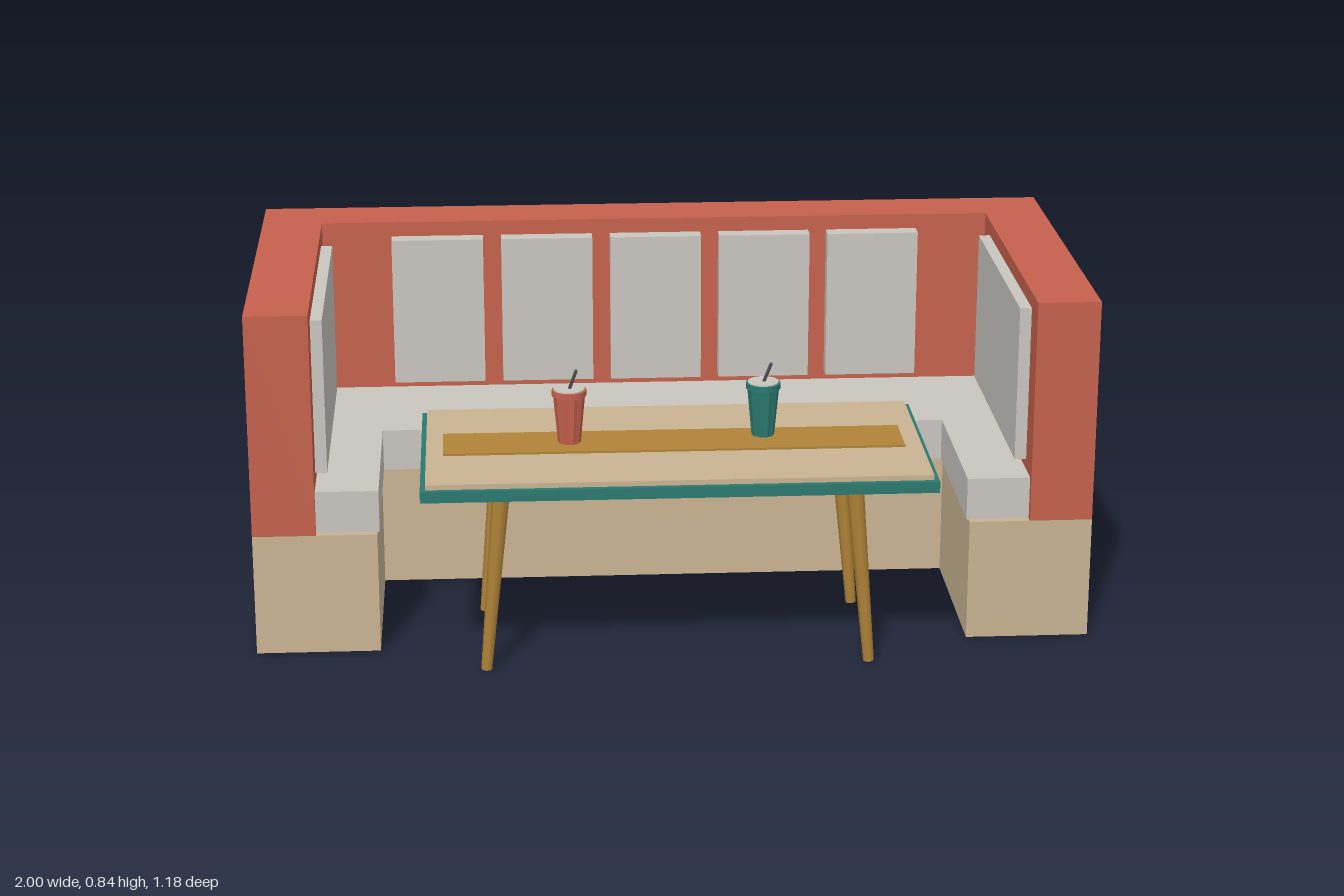
import * as THREE from 'three';

const mat = (name, color) => {
  const m = new THREE.MeshStandardMaterial({ color });
  m.name = name;
  return m;
};

export function createModel() {
  const red = mat('red upholstery', 0xc5614d);
  const tan = mat('tan wood', 0xc9b393);
  const cushion = mat('off-white cushion', 0xc9c6c0);
  const teal = mat('teal', 0x2a7a70);
  const gold = mat('golden brown', 0xb08338);
  const grey = mat('dark grey', 0x55555a);

  const model = new THREE.Group();
  model.name = 'diningBooth';

  const add = (name, geometry, material, parent = model) => {
    const mesh = new THREE.Mesh(geometry, material);
    mesh.name = name;
    parent.add(mesh);
    return mesh;
  };

  // Box given by its extents on each axis
  const box = (name, material, [x0, x1], [y0, y1], [z0, z1], parent) => {
    const mesh = add(name, new THREE.BoxGeometry(x1 - x0, y1 - y0, z1 - z0), material, parent);
    mesh.position.set((x0 + x1) / 2, (y0 + y1) / 2, (z0 + z1) / 2);
    return mesh;
  };

  // U-shaped block, open to the front
  const uBlock = (name, material, outerX, innerX, backZ, innerZ, frontZ, y0, y1) => {
    const shape = new THREE.Shape([
      [-outerX, backZ], [-outerX, frontZ], [-innerX, frontZ], [-innerX, innerZ],
      [innerX, innerZ], [innerX, frontZ], [outerX, frontZ], [outerX, backZ],
    ].map(([x, z]) => new THREE.Vector2(x, -z)));
    const g = new THREE.ExtrudeGeometry(shape, { depth: y1 - y0, bevelEnabled: false });
    g.rotateX(-Math.PI / 2).translate(0, y0, 0);
    return add(name, g, material);
  };

  // Tapered round bar between two points
  const bar = (name, material, from, to, rFrom, rTo, sides, parent) => {
    const a = new THREE.Vector3(...from), b = new THREE.Vector3(...to);
    const dir = b.clone().sub(a);
    const mesh = add(name, new THREE.CylinderGeometry(rTo, rFrom, dir.length(), sides), material, parent);
    mesh.position.copy(a).add(b).multiplyScalar(0.5);
    mesh.quaternion.setFromUnitVectors(new THREE.Vector3(0, 1, 0), dir.normalize());
    return mesh;
  };

  // Booth: plinth, surrounding wall and seat
  uBlock('boothBase', tan, 1, 0.705, -0.59, -0.09, 0.365, 0, 0.297);
  uBlock('boothWall', red, 1, 0.85, -0.59, -0.44, 0.365, 0.297, 0.84);
  uBlock('seatCushion', cushion, 0.85, 0.7, -0.44, -0.09, 0.347, 0.297, 0.4);

  // Padded panels on the wall
  for (let i = -2; i <= 2; i++) {
    const x = i * 0.278 - 0.002;
    box('backPanel', cushion, [x - 0.116, x + 0.116], [0.425, 0.803], [-0.44, -0.396]);
  }
  box('leftPanel', cushion, [0.822, 0.85], [0.425, 0.803], [-0.36, 0.283]);
  box('rightPanel', cushion, [-0.85, -0.822], [0.425, 0.803], [-0.36, 0.283]);

  // Table
  const table = new THREE.Group();
  table.name = 'table';
  model.add(table);
  box('tableEdge', teal, [-0.598, 0.598], [0.455, 0.482], [0.022, 0.588], table);
  box('tableTop', tan, [-0.586, 0.586], [0.482, 0.494], [0.035, 0.575], table);
  box('tableRunner', gold, [-0.546, 0.544], [0.494, 0.499], [0.23, 0.376], table);
  for (const s of [-1, 1]) {
    for (const z of [0.49, 0.12]) {
      bar('tableLeg', gold, [s * 0.453, 0, z], [s * 0.411, 0.456, z], 0.013, 0.021, 8, table);
    }
  }

  // Drinks: ribbed cup with rim, lid and straw
  const drink = (name, material, x, z) => {
    const cup = new THREE.Group();
    cup.name = name;
    cup.position.set(x, 0.498, z);
    model.add(cup);
    const body = new THREE.CylinderGeometry(0.038, 0.027, 0.118, 20, 1).toNonIndexed();
    const p = body.attributes.position;
    for (let i = 0; i < p.count; i++) {
      const a = Math.atan2(p.getZ(i), p.getX(i));
      const k = Math.round(a / (Math.PI / 10)) % 2 ? 0.93 : 1;
      p.setX(i, p.getX(i) * k);
      p.setZ(i, p.getZ(i) * k);
    }
    body.computeVertexNormals();
    add('cupBody', body, material, cup).position.y = 0.059;
    add('cupRim', new THREE.CylinderGeometry(0.041, 0.041, 0.014, 20), material, cup).position.y = 0.124;
    add('cupLid', new THREE.CylinderGeometry(0.037, 0.037, 0.004, 20), cushion, cup).position.y = 0.132;
    bar('straw', grey, [-0.003, 0.12, -0.003], [0.017, 0.183, 0.017], 0.004, 0.004, 8, cup);
  };
  drink('redDrink', red, -0.247, 0.303);
  drink('tealDrink', teal, 0.215, 0.276);

  return model;
}
